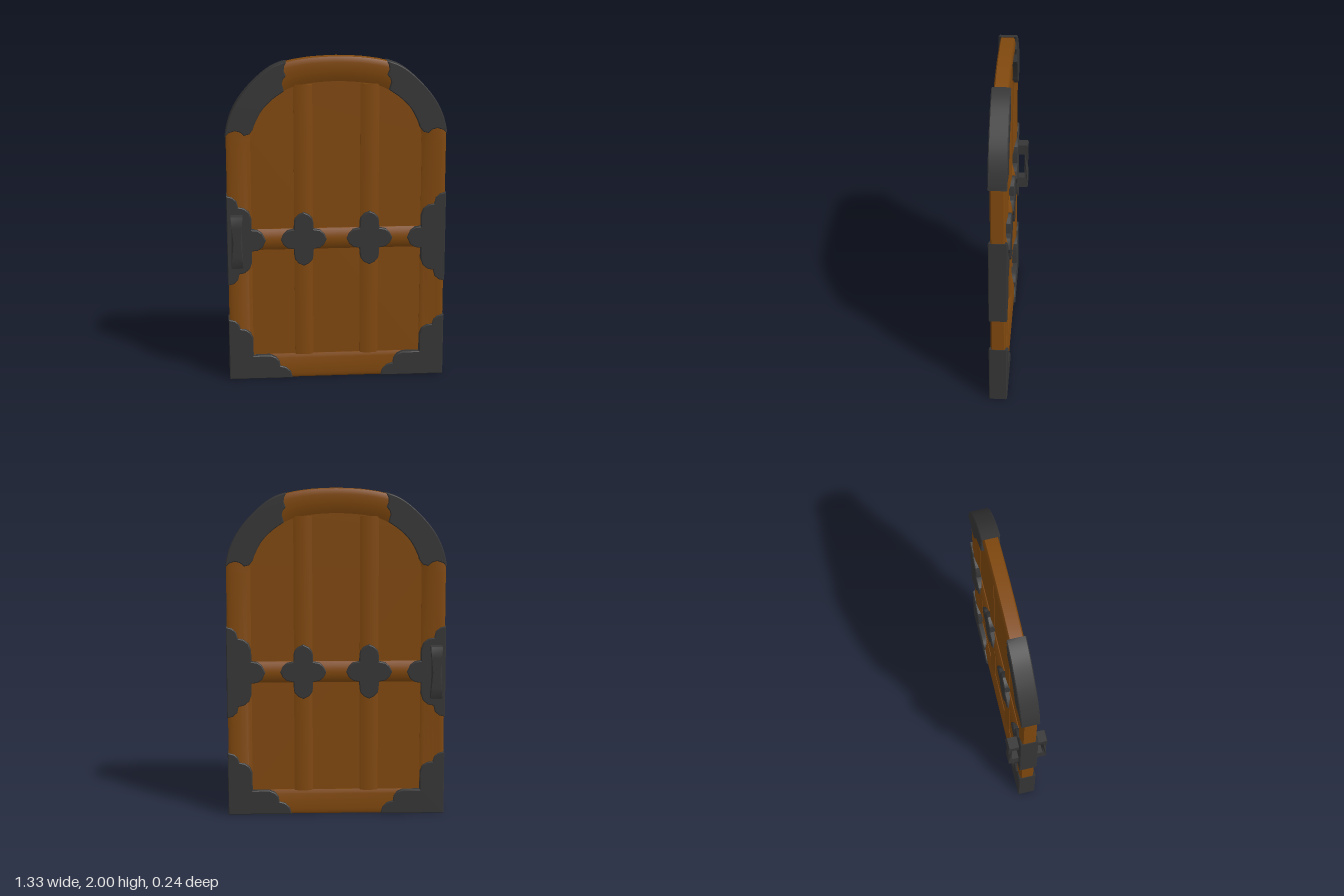
import * as THREE from 'three';
import { toCreasedNormals } from 'three/addons/utils/BufferGeometryUtils.js';

const wood = new THREE.MeshStandardMaterial({ color: 0x80480e });
wood.name = 'wood';
const iron = new THREE.MeshStandardMaterial({ color: 0x363636 });
iron.name = 'iron';

const vectors = (pts) => pts.map(([x, y]) => new THREE.Vector2(x, y));
const mirrorX = (pts) => pts.map((p) => new THREE.Vector2(-p.x, p.y)).reverse();

// Right half of the arch, from the side post up to the crown
const outerArch = new THREE.SplineCurve(vectors([
  [0.66, 1.5], [0.655, 1.56], [0.63, 1.65], [0.58, 1.745], [0.5, 1.84],
  [0.4, 1.925], [0.3, 1.968], [0.15, 1.993], [0, 2]]));
const innerArch = new THREE.SplineCurve(vectors([
  [0.515, 1.5], [0.51, 1.54], [0.49, 1.6], [0.445, 1.685], [0.38, 1.752],
  [0.31, 1.798], [0.235, 1.828], [0.12, 1.846], [0, 1.853]]));

// Closed outline, counter-clockwise from the bottom right corner
function outline(arch, x, y) {
  const half = [new THREE.Vector2(x, y), ...arch.getPoints(24)];
  return [...half, ...mirrorX(half).slice(1)];
}

function creased(geometry, angle = 0.5) {
  return toCreasedNormals(geometry, angle);
}

function addMesh(parent, name, geometry, material) {
  const mesh = new THREE.Mesh(geometry, material);
  mesh.name = name;
  parent.add(mesh);
  return mesh;
}

// Frame: a domed section swept between the outer and inner outlines
function frameGeometry() {
  const outer = outline(outerArch, 0.66, 0);
  const inner = outline(innerArch, 0.515, 0.15);
  const front = [[0, 0.035], [0.06, 0.041], [0.22, 0.045], [0.45, 0.044],
    [0.65, 0.04], [0.85, 0.032], [1, 0.023]];
  const section = [...front, ...front.map(([t, z]) => [t, -z]).reverse()];
  const n = outer.length, m = section.length;
  const positions = [], index = [];
  for (let i = 0; i < n; i++) {
    for (const [t, z] of section) {
      const p = outer[i].clone().lerp(inner[i], t);
      positions.push(p.x, p.y, z);
    }
    for (let j = 0; j < m; j++) {
      const a = i * m + j, a1 = i * m + (j + 1) % m;
      const b = ((i + 1) % n) * m + j, b1 = ((i + 1) % n) * m + (j + 1) % m;
      index.push(a, b, b1, a, b1, a1);
    }
  }
  const geometry = new THREE.BufferGeometry();
  geometry.setAttribute('position', new THREE.Float32BufferAttribute(positions, 3));
  geometry.setIndex(index);
  geometry.computeVertexNormals();
  return creased(geometry);
}

// Bar along y with a domed front and back
function domedBar(width, length, edge, peak) {
  const pts = [];
  for (let i = 0; i <= 10; i++) {
    const u = -1 + i / 5;
    pts.push(new THREE.Vector2(u * width / 2, edge + (peak - edge) * (1 - u * u)));
  }
  const back = pts.map((p) => new THREE.Vector2(p.x, -p.y)).reverse();
  const geometry = new THREE.ExtrudeGeometry(new THREE.Shape([...pts, ...back]),
    { depth: length, bevelEnabled: false });
  geometry.rotateX(-Math.PI / 2);
  return creased(geometry);
}

// Flat iron plate passing through the full depth, with a fine bevel
function plateGeometry(pts) {
  const bevel = 0.005, half = 0.055;
  const geometry = new THREE.ExtrudeGeometry(new THREE.Shape(pts), {
    depth: 2 * (half - bevel), bevelThickness: bevel, bevelSize: bevel,
    bevelOffset: -bevel, bevelSegments: 1 });
  geometry.translate(0, 0, -(half - bevel));
  return creased(geometry);
}

// Bottom corner plate, right side
const cornerPlate = vectors([
  [0.665, 0], [0.665, 0.39], [0.625, 0.38], [0.602, 0.358], [0.593, 0.328],
  [0.56, 0.322], [0.53, 0.3], [0.515, 0.26], [0.515, 0.15], [0.41, 0.15],
  [0.375, 0.135], [0.355, 0.11], [0.35, 0.08], [0.315, 0.07], [0.285, 0.042],
  [0.275, 0]]);

// Middle plate with a petal reaching over the cross rail, right side
const plateTop = [[0.665, 1.17], [0.63, 1.162], [0.603, 1.138], [0.594, 1.1],
  [0.56, 1.093], [0.53, 1.068], [0.515, 1.025], [0.515, 0.957], [0.48, 0.953],
  [0.45, 0.933], [0.43, 0.89]];
const middlePlate = vectors([...plateTop,
  ...plateTop.slice(0, -1).reverse().map(([x, y]) => [x, 1.78 - y])]);

// Arch plate, right side: clipped outer and inner arcs joined by scalloped ends
const archPlate = [
  ...outerArch.getPoints(60).filter((p) => p.y > 1.54 && p.x > 0.31)
    .map((p) => new THREE.Vector2(p.x + 0.005, p.y + 0.003)),
  ...vectors([[0.298, 1.972], [0.31, 1.945], [0.312, 1.92], [0.3, 1.89],
    [0.318, 1.868], [0.324, 1.845], [0.312, 1.8]]),
  ...innerArch.getPoints(60).filter((p) => p.y > 1.59 && p.x > 0.325).reverse(),
  ...vectors([[0.497, 1.575], [0.52, 1.545], [0.552, 1.537], [0.575, 1.558],
    [0.605, 1.566], [0.64, 1.555], [0.665, 1.53]])];

// Four-petalled rosette
function rosettePoints() {
  const quarter = [[0.14, 0], [0.125, 0.032], [0.1, 0.054], [0.06, 0.062],
    [0.058, 0.105], [0.053, 0.128], [0.032, 0.152], [0, 0.167]];
  const right = [...quarter.slice(1).reverse().map(([x, y]) => [x, y]), quarter[0],
    ...quarter.slice(1).map(([x, y]) => [x, -y])];
  const left = right.slice(1, -1).reverse().map(([x, y]) => [-x, y]);
  return vectors([...right, ...left]);
}

// Handle: a C-shaped side profile, pinched at the middle of the grip
function handleGeometry() {
  const pts = vectors([[0.05, -0.16], [0.113, -0.16], [0.118, -0.15], [0.118, -0.09],
    [0.116, 0], [0.118, 0.09], [0.118, 0.15], [0.113, 0.16], [0.05, 0.16],
    [0.05, 0.09], [0.095, 0.09], [0.095, 0], [0.095, -0.09], [0.05, -0.09]]);
  const geometry = new THREE.ExtrudeGeometry(new THREE.Shape(pts),
    { depth: 0.07, bevelEnabled: false });
  geometry.translate(0, 0, -0.035);
  geometry.rotateY(-Math.PI / 2);
  const pos = geometry.attributes.position;
  for (let i = 0; i < pos.count; i++) {
    const y = Math.abs(pos.getY(i));
    const pinch = y < 0.01 ? 0.6 : y < 0.1 ? 0.85 : 1;
    pos.setX(i, pos.getX(i) * pinch);
  }
  geometry.computeVertexNormals();
  return creased(geometry);
}

export function createModel() {
  const door = new THREE.Group();
  door.name = 'archedDoor';

  // Wooden frame and recessed panel
  addMesh(door, 'frame', frameGeometry(), wood);
  const panel = new THREE.ExtrudeGeometry(
    new THREE.Shape(outline(innerArch, 0.515, 0.15)),
    { depth: 0.04, bevelEnabled: false });
  panel.translate(0, 0, -0.02);
  addMesh(door, 'panel', creased(panel), wood);

  // Vertical battens and the cross rail
  for (const x of [-0.2, 0.2]) {
    addMesh(door, 'batten', domedBar(0.113, 1.69, 0.023, 0.034), wood)
      .position.set(x, 0.145, 0);
  }
  const rail = addMesh(door, 'crossRail', domedBar(0.13, 1.03, 0.024, 0.045), wood);
  rail.rotation.z = -Math.PI / 2;
  rail.position.set(-0.515, 0.89, 0);

  // Iron plates on both sides
  const plates = { cornerPlate, middlePlate, archPlate };
  for (const [name, pts] of Object.entries(plates)) {
    addMesh(door, name + 'Left', plateGeometry(pts), iron);
    addMesh(door, name + 'Right', plateGeometry(mirrorX(pts)), iron);
  }

  // Rosettes over the crossings
  for (const x of [-0.2, 0.2]) {
    addMesh(door, 'rosette', plateGeometry(rosettePoints()), iron)
      .position.set(x, 0.893, 0);
  }

  // Handles on the front and back
  for (const turn of [0, Math.PI]) {
    const handle = addMesh(door, turn ? 'backHandle' : 'frontHandle', handleGeometry(), iron);
    handle.position.set(-0.605, 0.895, 0);
    handle.rotation.y = turn;
  }
  return door;
}
